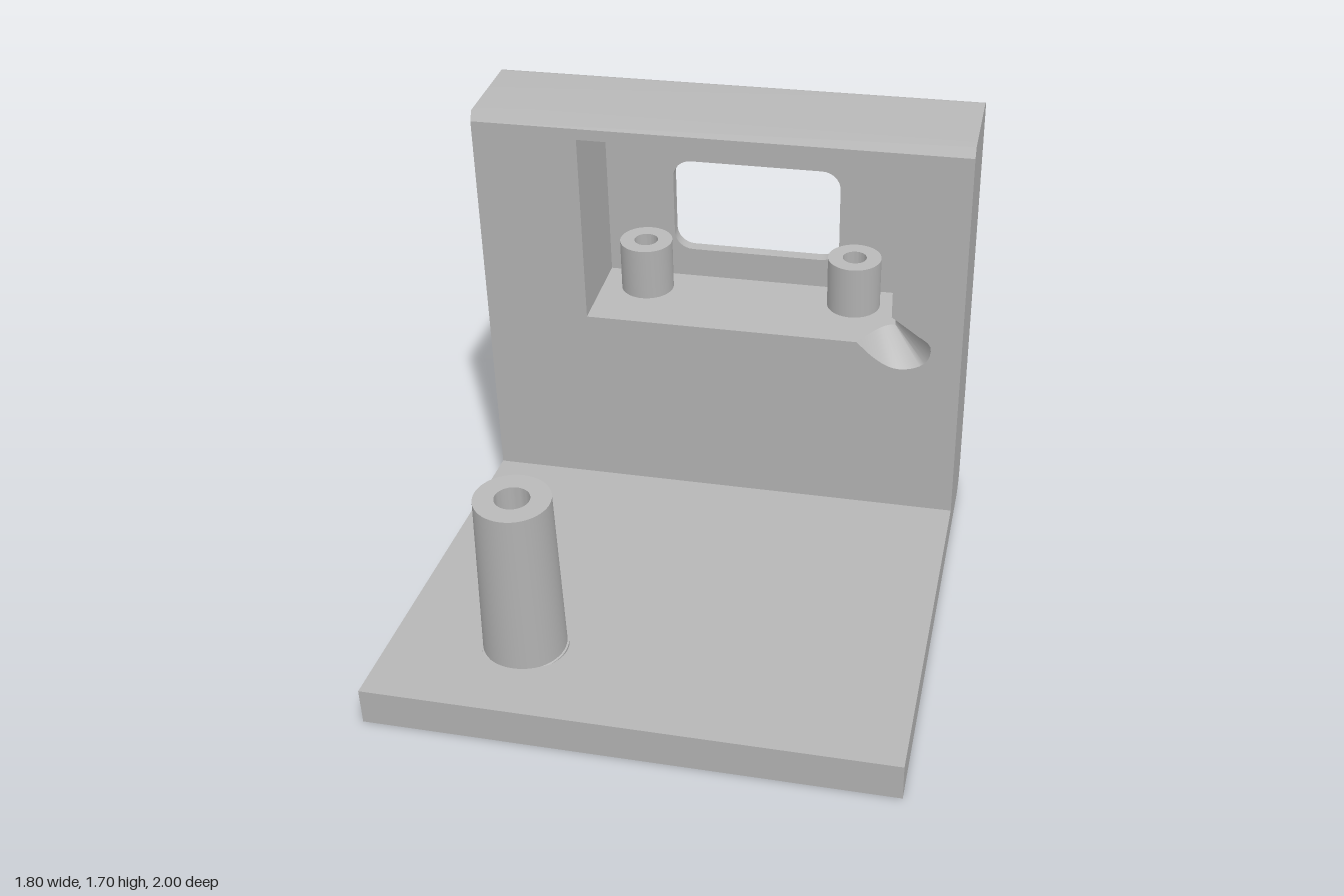
import * as THREE from 'three';
import { toCreasedNormals } from 'three/addons/utils/BufferGeometryUtils.js';

const W = 0.9;                       // half width
const LEAN = 0.104;                  // forward lean of wall and posts
const T = 0.427;                     // wall thickness
const D = 0.38;                      // pocket depth
const CORNER = { y: 0.135, z: -0.565 }; // where floor meets wall
const P = { l: -0.51, r: 0.64, b: 0.72, t: 1.453 }; // pocket rectangle
const V = (x, y, z) => new THREE.Vector3(x, y, z);

export function createModel() {
  const grey = new THREE.MeshStandardMaterial({ color: 0xb6b6b6, side: THREE.DoubleSide });
  grey.name = 'grey plastic';
  const root = new THREE.Group();
  root.name = 'stand';

  function add(parent, name, geo) {
    const mesh = new THREE.Mesh(geo, grey);
    mesh.name = name;
    parent.add(mesh);
    return mesh;
  }

  // Flat face from a 2D outline, placed in space by map
  function panel(parent, name, pts, map, flip = false, hole = null) {
    const shape = new THREE.Shape(pts.map(p => new THREE.Vector2(p[0], p[1])));
    if (hole) shape.holes.push(new THREE.Path(hole.map(p => new THREE.Vector2(p[0], p[1]))));
    const geo = new THREE.ShapeGeometry(shape);
    const pos = geo.attributes.position;
    for (let i = 0; i < pos.count; i++) pos.setXYZ(i, ...map(pos.getX(i), pos.getY(i)));
    if (flip) geo.index.array.reverse();
    geo.computeVertexNormals();
    return add(parent, name, geo);
  }

  // Ruled surface between two rows of points
  function strip(parent, name, a, b, crease = 0.5) {
    const index = [];
    const n = a.length;
    for (let i = 0; i < n - 1; i++) index.push(i, i + 1, n + i, i + 1, n + i + 1, n + i);
    const geo = new THREE.BufferGeometry().setFromPoints([...a, ...b]);
    geo.setIndex(index);
    geo.computeVertexNormals();
    return add(parent, name, toCreasedNormals(geo, crease));
  }

  // Hollow round post with a blind hole in its top
  function post(parent, name, outer, inner, height, holeDepth) {
    const pts = [...outer, [inner, height], [inner, height - holeDepth], [0, height - holeDepth]];
    const geo = new THREE.LatheGeometry(pts.map(p => new THREE.Vector2(...p)), 48);
    return add(parent, name, toCreasedNormals(geo, 0.5));
  }

  // Wall coordinates (height along wall, depth into wall) to side profile (z, y)
  const c = Math.cos(LEAN), s = Math.sin(LEAN);
  const side = (v, d) => [CORNER.z + v * s - d * c, CORNER.y + v * c + d * s];

  // Side profile: floor slab, then the rounded top of the wall
  const vBack0 = -0.1, vBack1 = 1.47, vFront = 1.495, vTop = 1.53;
  const slab = [
    side(0, 0), [1, 0.135], [0.985, 0], [-0.935, 0], [-0.99, 0.04], side(vBack0, T),
  ];
  const crown = [];
  for (let i = 0; i <= 8; i++) {
    const a = (i / 8) * Math.PI / 2;
    crown.push(side(vBack1 + (vTop - vBack1) * Math.sin(a), T - 0.05 * (1 - Math.cos(a))));
  }
  crown.push(side(vTop, 0.02), side(vFront, 0));
  const across = (row, x) => row.map(([z, y]) => V(x, y, z));
  strip(root, 'floorSlab', across(slab, -W), across(slab, W));
  strip(root, 'wallTop', across(crown, -W), across(crown, W));
  for (const x of [-W, W]) {
    panel(root, x > 0 ? 'leftSide' : 'rightSide', [...slab, ...crown], (z, y) => [x, y, z], x > 0);
  }

  // Leaning wall, in its own frame: y along the wall, -z into it
  const wall = new THREE.Group();
  wall.name = 'wall';
  wall.position.set(0, CORNER.y, CORNER.z);
  wall.rotation.x = LEAN;
  root.add(wall);

  // Cable notch: its lip on the wall face and its inner edge in the pocket corner
  const N = 24;
  const lip = new THREE.CatmullRomCurve3([
    V(0.515, P.b, 0), V(0.58, 0.66, 0), V(0.65, 0.623, 0), V(0.72, 0.628, 0),
    V(0.775, 0.665, 0), V(0.785, 0.73, 0), V(0.73, 0.775, 0), V(P.r, 0.84, 0),
  ]).getPoints(N);
  const inner = lip.map((_, i) => {
    const t = (2 * i) / N;
    const depth = 0.15 * Math.sin((t * Math.PI) / 2);
    return t <= 1 ? V(0.515 + (P.r - 0.515) * t, P.b, -depth)
      : V(P.r, P.b + (0.84 - P.b) * (t - 1), -depth);
  });
  strip(wall, 'cableNotch', lip, inner, 1);

  // Rounded window outline
  const win = [];
  const wl = -0.25, wr = 0.39, wb = 0.836, wt = 1.212, r = 0.07;
  [[wr - r, wt - r], [wl + r, wt - r], [wl + r, wb + r], [wr - r, wb + r]].forEach(([x, y], q) => {
    for (let i = 0; i <= 8; i++) {
      const a = (q + i / 8) * Math.PI / 2;
      win.push([x + r * Math.cos(a), y + r * Math.sin(a)]);
    }
  });
  const loop = [...win, win[0]];
  strip(wall, 'windowRim', loop.map(p => V(p[0], p[1], -D)), loop.map(p => V(p[0], p[1], -T)));

  // Wall faces
  const rect = (x0, x1, y0, y1) => [[x0, y0], [x1, y0], [x1, y1], [x0, y1]];
  panel(wall, 'wallFront', rect(-W, W, 0, vFront), (x, y) => [x, y, 0], false,
    [[P.l, P.b], ...lip.map(p => [p.x, p.y]), [P.r, P.t], [P.l, P.t]]);
  panel(wall, 'wallBack', rect(-W, W, vBack0, vBack1), (x, y) => [x, y, -T], true, win);

  // Pocket faces, with floor and left wall cut by the notch
  const half = N / 2;
  panel(wall, 'pocketBack', rect(P.l, P.r, P.b, P.t), (x, y) => [x, y, -D], false, win);
  panel(wall, 'pocketFloor',
    [[P.l, 0], ...inner.slice(0, half + 1).map(p => [p.x, -p.z]), [P.r, D], [P.l, D]],
    (x, d) => [x, P.b, -d]);
  panel(wall, 'pocketCeiling', rect(P.l, P.r, 0, D), (x, d) => [x, P.t, -d], true);
  panel(wall, 'pocketLeftWall',
    [...inner.slice(half).map(p => [p.y, -p.z]), [P.t, 0], [P.t, D], [P.b, D]],
    (v, d) => [P.r, v, -d]);
  panel(wall, 'pocketRightWall', rect(P.b, P.t, 0, D), (v, d) => [P.l, v, -d], true);

  // Two short pegs on the pocket floor
  for (const x of [-0.337, 0.465]) {
    const peg = post(wall, x > 0 ? 'leftPeg' : 'rightPeg', [[0.1, 0], [0.1, 0.202]], 0.045, 0.202, 0.15);
    peg.position.set(x, P.b, -0.27);
  }

  // Tall tapered post on the floor slab
  const tall = post(root, 'tallPost',
    [[0.15, -0.03], [0.15, 0.01], [0.144, 0.012], [0.13, 0.62]], 0.06, 0.62, 0.35);
  tall.position.set(-0.44, CORNER.y, 0.625);
  tall.rotation.x = LEAN;

  return root;
}
